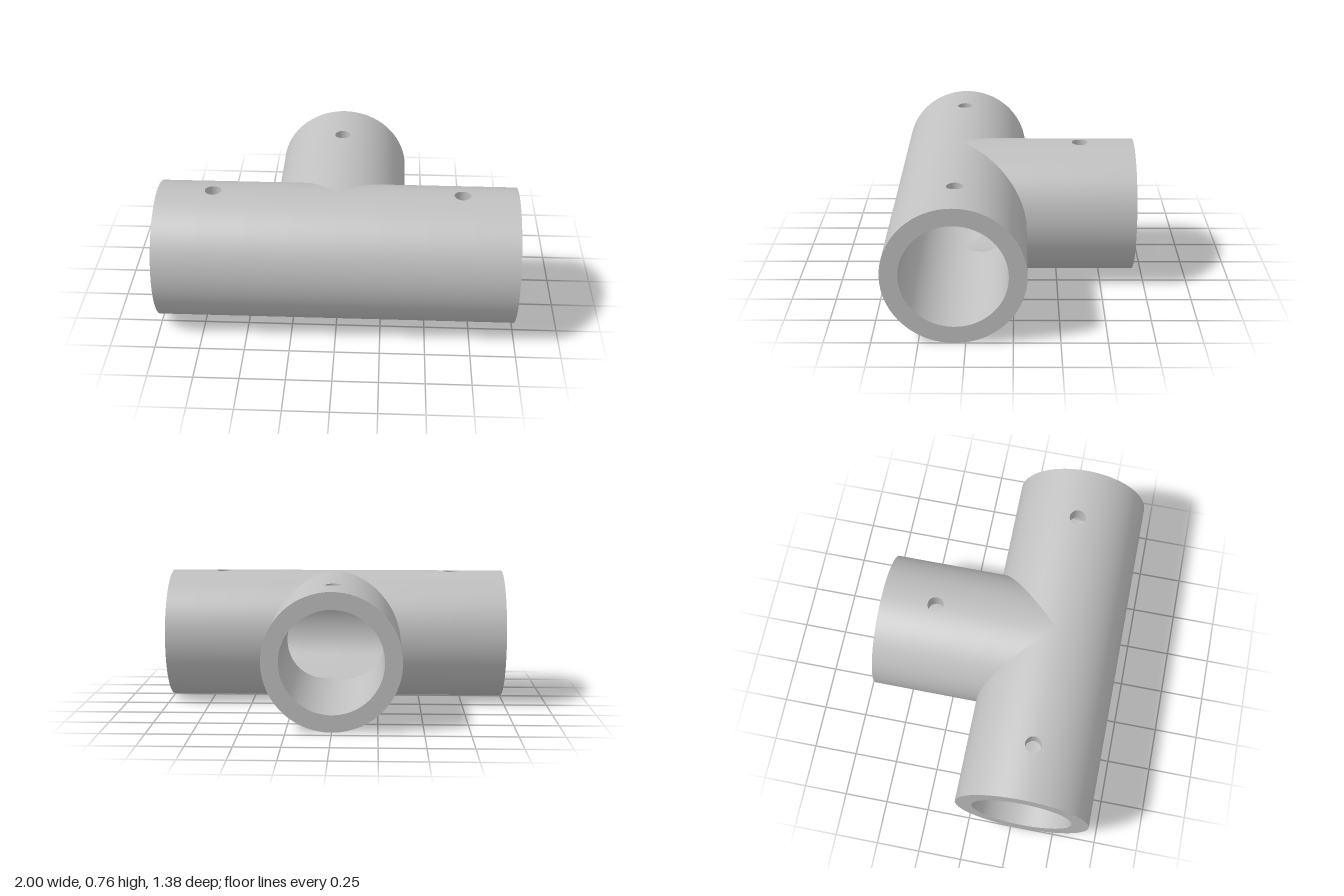
import * as THREE from 'three';

const R_OUT = 0.382, R_IN = 0.286;   // pipe radii
const LENGTH = 1;                    // each arm, from the junction centre
const HOLE_AT = 0.69, HOLE_R = 0.046, WINDOW = 0.08;
const CY = R_OUT, CZ = (LENGTH - R_OUT) / 2;

// Arm frames: sideways, height and distance along the arm -> model space
const ARMS = [
  { name: 'leftArm', place: (l, y, a) => [a, y, l], start: (l) => Math.max(0, -l) },
  { name: 'rightArm', place: (l, y, a) => [-a, y, l], start: (l) => Math.max(0, -l) },
  { name: 'branchArm', place: (l, y, a) => [l, y, -a], start: (l) => Math.abs(l) },
];

// Grid surface; fn(u, v) gives { p, n } in the arm frame, and faces follow the normals
function sheet(place, patches) {
  const pos = [], nor = [], index = [];
  const a = new THREE.Vector3(), b = new THREE.Vector3(), c = new THREE.Vector3(), n = new THREE.Vector3();
  const addFace = (i, j, k) => {
    a.fromArray(pos, i * 3);
    b.fromArray(pos, j * 3).sub(a);
    c.fromArray(pos, k * 3).sub(a);
    const facing = b.cross(c).dot(n.fromArray(nor, i * 3));
    if (facing >= 0) index.push(i, j, k);
    else index.push(i, k, j);
  };
  for (const { nu, nv, fn } of patches) {
    const base = pos.length / 3, row = nv + 1;
    for (let i = 0; i <= nu; i++) {
      for (let j = 0; j <= nv; j++) {
        const { p, n: normal } = fn(i / nu, j / nv);
        pos.push(...place(...p));
        nor.push(...place(...normal));
      }
    }
    for (let i = 0; i < nu; i++) {
      for (let j = 0; j < nv; j++) {
        const k = base + i * row + j;
        addFace(k, k + row, k + 1);
        addFace(k + row, k + row + 1, k + 1);
      }
    }
  }
  const geo = new THREE.BufferGeometry();
  geo.setAttribute('position', new THREE.Float32BufferAttribute(pos, 3));
  geo.setAttribute('normal', new THREE.Float32BufferAttribute(nor, 3));
  geo.setIndex(index);
  return geo;
}

// Mitred cylinder wall with a round opening on top; side is 1 outside, -1 in the bore
function wall(arm, R, side) {
  const half = Math.asin(WINDOW / R);
  const on = (t, a) => ({
    p: [R * Math.sin(t), R * Math.cos(t), a],
    n: [side * Math.sin(t), side * Math.cos(t), 0],
  });
  const band = (t0, t1, from, to, nu) => ({
    nu, nv: 4,
    fn: (u, v) => {
      const t = t0 + (t1 - t0) * u;
      const a0 = from(R * Math.sin(t));
      return on(t, a0 + (to - a0) * v);
    },
  });
  return sheet(arm.place, [
    band(half, Math.PI * 2 - half, arm.start, LENGTH, 96),
    band(-half, half, arm.start, HOLE_AT - WINDOW, 16),
    band(-half, half, () => HOLE_AT + WINDOW, LENGTH, 16),
    // square window around the round hole
    {
      nu: 64, nv: 4,
      fn: (u, v) => {
        const s = Math.sin(u * Math.PI * 2), c = Math.cos(u * Math.PI * 2);
        const m = Math.max(Math.abs(s), Math.abs(c));
        const t = THREE.MathUtils.lerp(Math.asin(HOLE_R * s / R), half * s / m, v);
        return on(t, HOLE_AT + THREE.MathUtils.lerp(HOLE_R * c, WINDOW * c / m, v));
      },
    },
  ]);
}

// Flat ring closing the open end
function rim(arm) {
  return sheet(arm.place, [{
    nu: 96, nv: 1,
    fn: (u, v) => {
      const t = u * Math.PI * 2, r = R_IN + (R_OUT - R_IN) * v;
      return { p: [r * Math.sin(t), r * Math.cos(t), LENGTH], n: [0, 0, 1] };
    },
  }]);
}

// Side of the set-screw hole through the pipe wall
function holeSide(arm) {
  return sheet(arm.place, [{
    nu: 64, nv: 1,
    fn: (u, v) => {
      const s = Math.sin(u * Math.PI * 2), c = Math.cos(u * Math.PI * 2);
      const R = v ? R_OUT : R_IN, l = HOLE_R * s;
      return { p: [l, Math.sqrt(R * R - l * l), HOLE_AT + HOLE_R * c], n: [-s, 0, -c] };
    },
  }]);
}

export function createModel() {
  const metal = new THREE.MeshStandardMaterial({ color: 0xc0c0c0 });
  metal.name = 'grey metal';

  const model = new THREE.Group();
  model.name = 'pipeTee';
  for (const arm of ARMS) {
    const group = new THREE.Group();
    group.name = arm.name;
    group.position.set(0, CY, CZ);
    const parts = {
      outerWall: wall(arm, R_OUT, 1),
      bore: wall(arm, R_IN, -1),
      endRim: rim(arm),
      screwHole: holeSide(arm),
    };
    for (const [name, geometry] of Object.entries(parts)) {
      const mesh = new THREE.Mesh(geometry, metal);
      mesh.name = name;
      group.add(mesh);
    }
    model.add(group);
  }
  return model;
}
